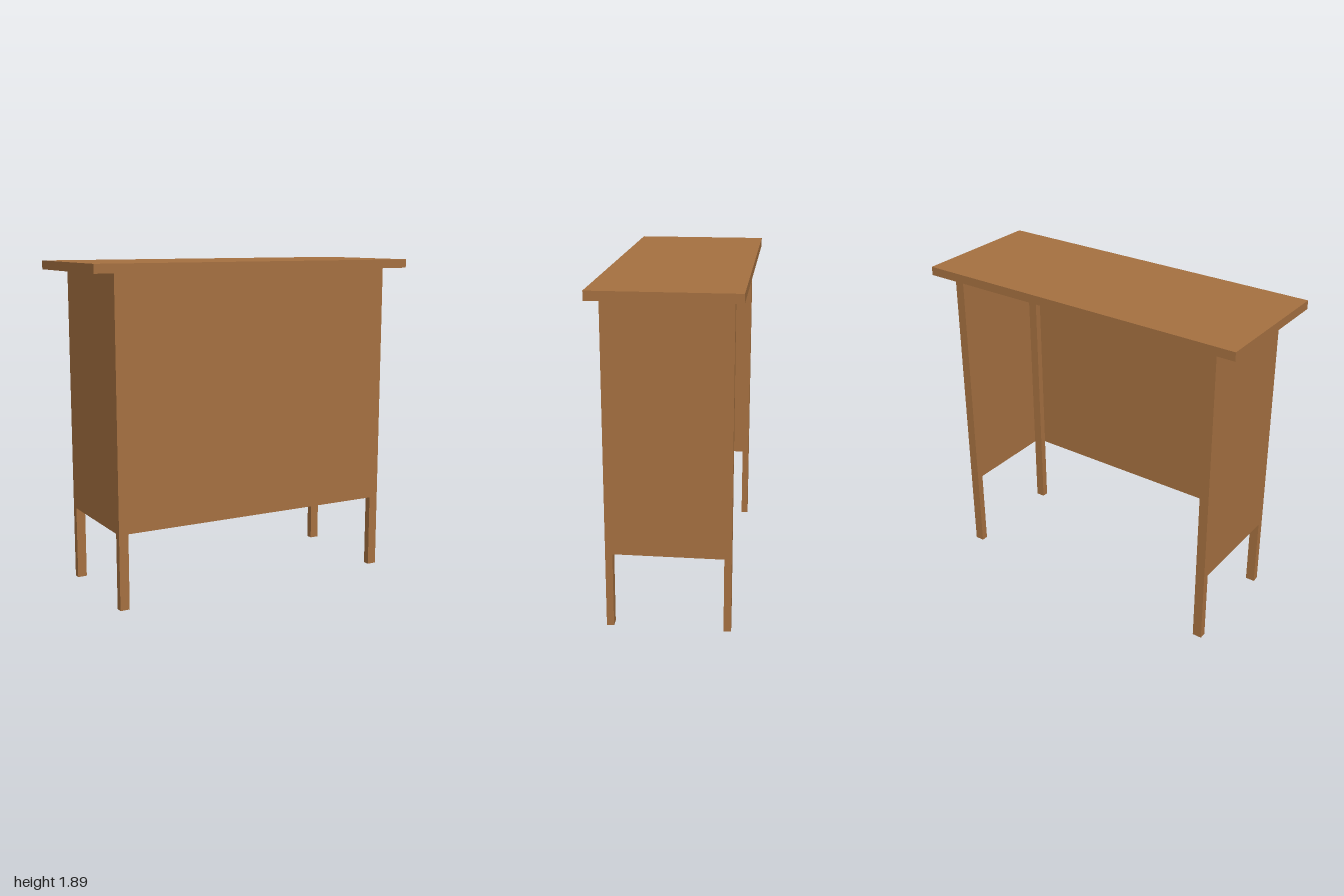
import * as THREE from 'three';

export function createModel() {
  const group = new THREE.Group();
  const wood = new THREE.MeshStandardMaterial({ color: 0xa67141 });
  wood.name = 'brown wood';
  wood.side = THREE.DoubleSide;

  const add = (name, geometry, x, y, z) => {
    const mesh = new THREE.Mesh(geometry, wood);
    mesh.name = name;
    mesh.position.set(x, y, z);
    group.add(mesh);
    return mesh;
  };

  const halfW = 0.868, halfD = 0.343; // outer faces of the legs
  const legW = 0.055, legD = 0.04, legH = 1.84;
  const panelBottom = 0.43;
  const panelH = legH - panelBottom, panelY = (legH + panelBottom) / 2;

  // Overhanging counter top
  add('counterTop', new THREE.BoxGeometry(2, 0.05, 0.79), 0, legH + 0.025, 0);

  for (const sx of [-1, 1]) {
    const side = sx > 0 ? 'left' : 'right';
    // Full-height corner legs
    for (const sz of [-1, 1]) {
      add(`${side}${sz > 0 ? 'Front' : 'Back'}Leg`, new THREE.BoxGeometry(legW, legH, legD),
        sx * (halfW - legW / 2), legH / 2, sz * (halfD - legD / 2));
    }
    // Thin side panels, flush with the outside of the legs
    const panel = add(`${side}SidePanel`, new THREE.PlaneGeometry(2 * (halfD - legD), panelH), sx * halfW, panelY, 0);
    panel.rotation.y = sx * Math.PI / 2;
  }

  // Thin front panel, flush with the legs; the back stays open
  add('frontPanel', new THREE.PlaneGeometry(2 * (halfW - legW), panelH), 0, panelY, halfD);

  return group;
}
